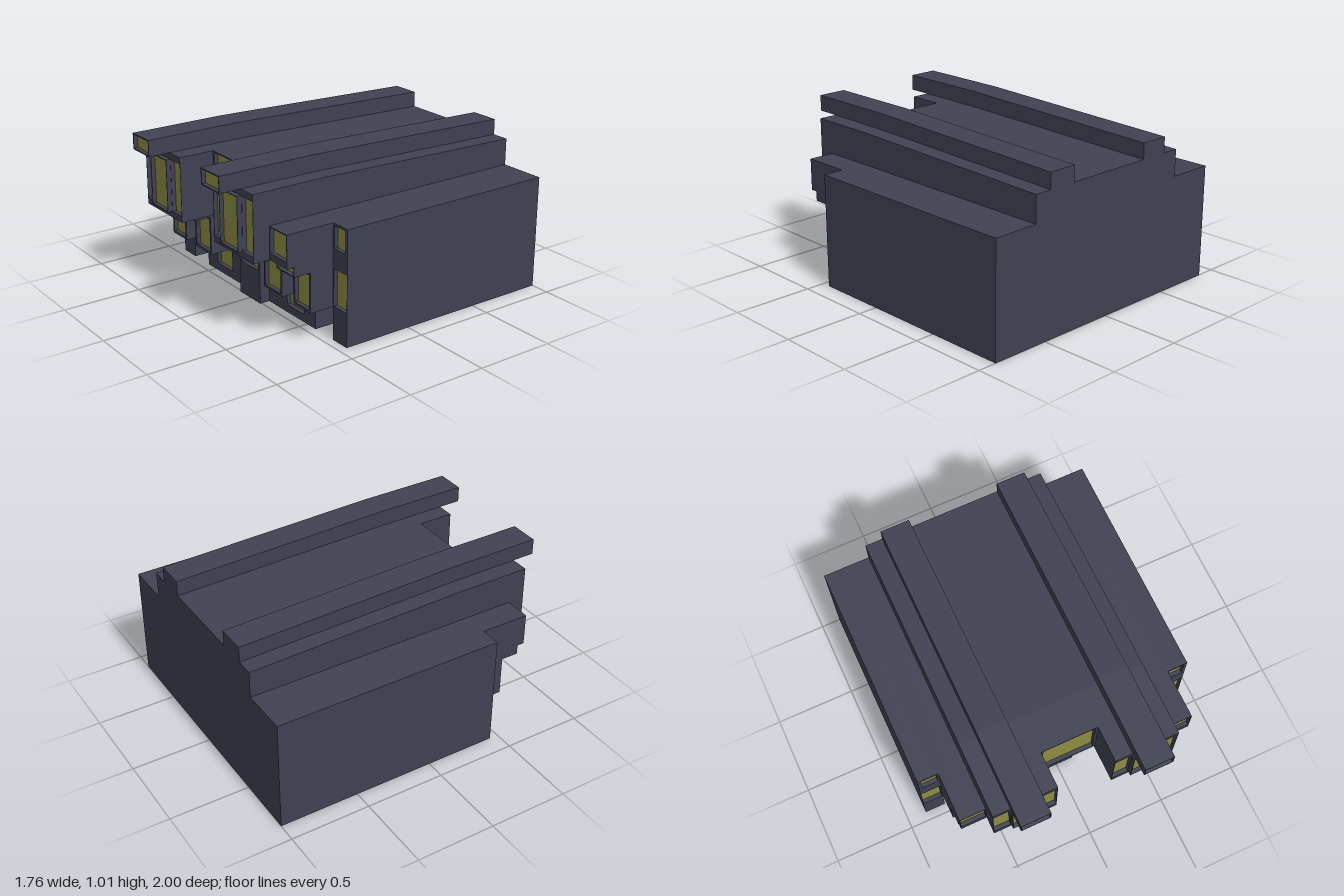
import * as THREE from 'three';

const wallMat = new THREE.MeshStandardMaterial({ color: 0x404152, flatShading: true });
const glassMat = new THREE.MeshStandardMaterial({ color: 0x8c8c42, flatShading: true });
const BACK = -1;
const INSET = 0.03;

function addMesh(parent, name, geometry, material = wallMat) {
  const mesh = new THREE.Mesh(geometry, material);
  mesh.name = name;
  parent.add(mesh);
}

function boxGeo(x0, x1, y0, y1, z0, z1) {
  return new THREE.BoxGeometry(x1 - x0, y1 - y0, z1 - z0)
    .translate((x0 + x1) / 2, (y0 + y1) / 2, (z0 + z1) / 2);
}

function rectPoints(x0, x1, y0, y1) {
  return [[x0, y0], [x1, y0], [x1, y1], [x0, y1]].map(([x, y]) => new THREE.Vector2(x, y));
}

// Wall frame whose openings hold inset glass; its front is at z
function facade(parent, name, [x0, x1, y0, y1], z, windows) {
  const shape = new THREE.Shape(rectPoints(x0, x1, y0, y1));
  for (const w of windows) {
    shape.holes.push(new THREE.Path(rectPoints(...w).reverse()));
    addMesh(parent, name + 'Window', boxGeo(...w, z - INSET - 0.01, z - INSET + 0.004), glassMat);
  }
  const geo = new THREE.ExtrudeGeometry(shape, { depth: INSET, bevelEnabled: false });
  addMesh(parent, name + 'Frame', geo.translate(0, 0, z - INSET));
}

// Solid wing running back from a facade
function wing(parent, name, rect, z, windows, back = BACK) {
  addMesh(parent, name, boxGeo(...rect, back, z - INSET));
  facade(parent, name, rect, z, windows);
}

// Side outline of (z, y) points extruded from x0 to x1
function sideProfile(parent, name, x0, x1, points) {
  const shape = new THREE.Shape(points.map(([z, y]) => new THREE.Vector2(z, y)));
  const geo = new THREE.ExtrudeGeometry(shape, { depth: x1 - x0, bevelEnabled: false });
  addMesh(parent, name, geo.rotateY(-Math.PI / 2).translate(x1, 0, 0));
}

// Block with a roof that falls gently toward the back
function slopedWing(parent, name, x0, x1, bottom, front) {
  sideProfile(parent, name, x0, x1,
    [[BACK, bottom], [front, bottom], [front, 0.913], [0.4, 0.913], [BACK, 0.877]]);
}

function mirrorRect([a, b, c, d], side) {
  return side > 0 ? [a, b, c, d] : [-b, -a, c, d];
}

export function createModel() {
  const model = new THREE.Group();
  model.name = 'building';

  // Centre: entrance block below, tall recessed window above
  wing(model, 'centreBase', [-0.11, 0.11, 0, 0.55], 0.51, [[-0.092, 0.092, 0.21, 0.45]]);
  slopedWing(model, 'centreHall', -0.18, 0.18, 0.545, 0.635 - INSET);
  facade(model, 'centreHall', [-0.18, 0.18, 0.545, 0.913], 0.635, [[-0.166, 0.166, 0.555, 0.905]]);

  for (const side of [1, -1]) {
    const half = new THREE.Group();
    half.name = side > 0 ? 'leftHalf' : 'rightHalf';
    model.add(half);
    const m = (r) => mirrorRect(r, side);
    const w = (name, rect, z, windows, back) => wing(half, name, m(rect), z, windows.map(m), back);
    const f = (name, rect, z, windows) => facade(half, name, m(rect), z, windows.map(m));

    // Ground storey
    w('groundStorey', [0.11, 0.585, 0, 0.55], 0.445,
      [[0.19, 0.272, 0.22, 0.495], [0.485, 0.565, 0.22, 0.495], [0.3, 0.47, 0.05, 0.195]]);

    // Outer wing
    w('outerWing', [0.75, 0.88, 0, 0.71], 0.445,
      [[0.76, 0.86, 0.56, 0.695], [0.757, 0.877, 0.21, 0.44]]);

    // Passage wing: open underneath at the front, stepping out as it rises
    addMesh(half, 'passageBack', boxGeo(...m([0.585, 0.75, 0, 0.205]), BACK, -0.36));
    w('passageWing', [0.585, 0.75, 0.205, 0.45], 0.6, [[0.6, 0.737, 0.22, 0.432]]);
    w('passageStep', [0.585, 0.75, 0.45, 0.51], 0.71, [[0.59, 0.745, 0.457, 0.5]]);
    w('passageTop', [0.585, 0.75, 0.51, 0.71], 0.755, [[0.59, 0.745, 0.552, 0.703]]);

    // Lower bay stepping out under the tower
    w('lowerBay', [0.29, 0.475, 0.205, 0.45], 0.6, [[0.303, 0.46, 0.22, 0.432]], 0.3);
    w('bayStep', [0.29, 0.475, 0.45, 0.51], 0.71, [[0.297, 0.468, 0.457, 0.5]], 0.3);

    // Tower with three tall windows and a shallow projecting bay
    const [t0, t1] = m([0.18, 0.585, 0, 0]);
    slopedWing(half, 'tower', t0, t1, 0.51, 0.86 - INSET);
    f('tower', [0.18, 0.585, 0.51, 0.913], 0.86,
      [[0.183, 0.288, 0.55, 0.872], [0.477, 0.582, 0.55, 0.872]]);
    f('towerBay', [0.29, 0.475, 0.547, 0.875], 0.89, [[0.294, 0.471, 0.553, 0.87]]);

    // Long roof ridge reaching past the tower front
    const [r0, r1] = m([0.29, 0.475, 0, 0]);
    sideProfile(half, 'roofRidge', r0, r1, [
      [BACK, 0.86], [0.4, 0.89], [0.6, 0.915], [1 - INSET, 0.915],
      [1 - INSET, 1.015], [0.4, 1.015], [BACK, 0.975]]);
    f('roofRidge', [0.29, 0.475, 0.915, 1.015], 1, [[0.296, 0.469, 0.922, 1.008]]);
  }
  return model;
}
